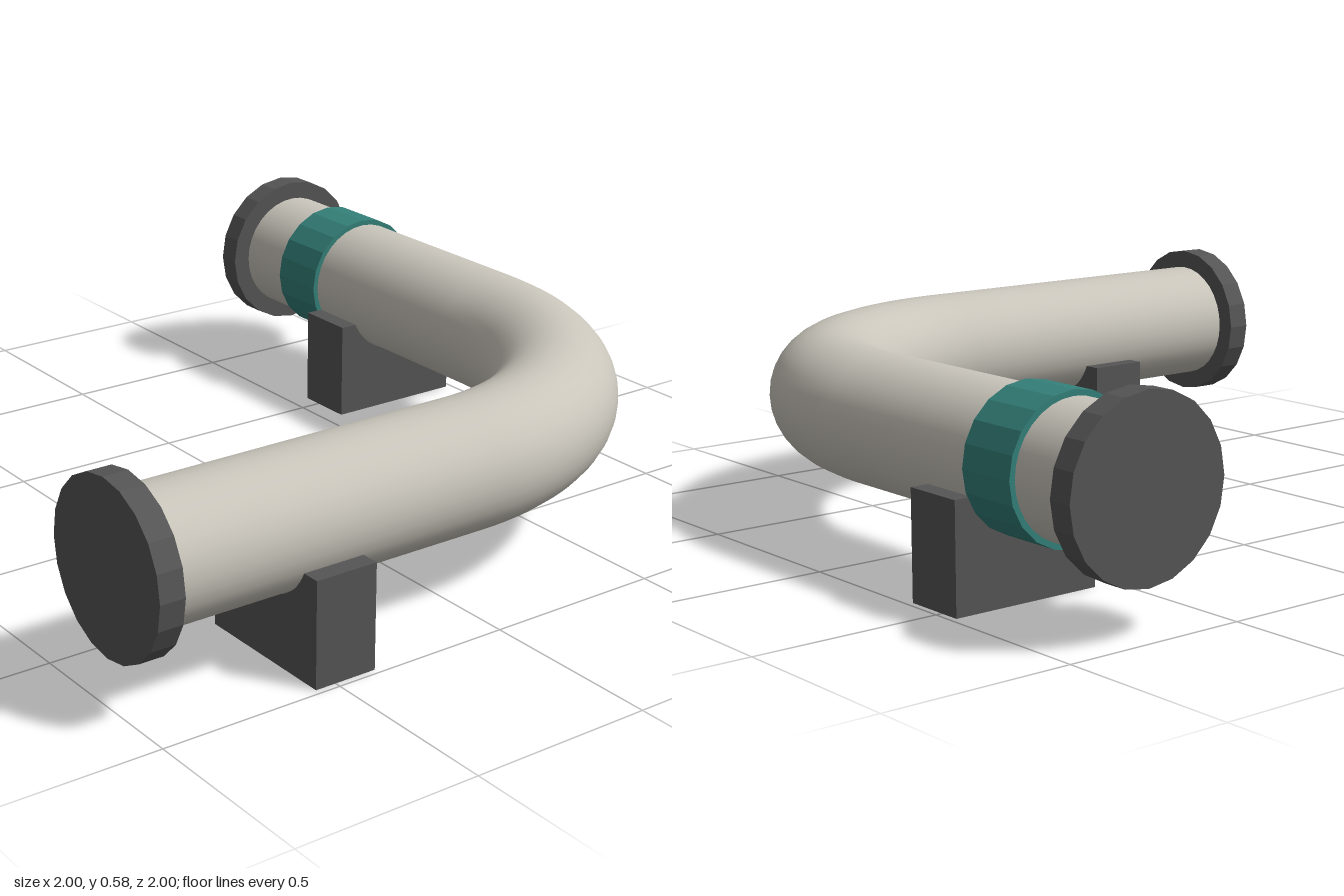
import * as THREE from 'three';

const AXIS_Y = 0.357, AXIS = 0.772; // pipe height and offset of both runs
const PIPE_R = 0.174, BEND_R = 0.722, BEND_C = AXIS - BEND_R;

export function createModel() {
  const model = new THREE.Group();
  model.name = 'pipeElbow';

  const flat = (name, color) => {
    const m = new THREE.MeshStandardMaterial({ color, flatShading: name !== 'pipeGrey' });
    m.name = name;
    return m;
  };
  const pipeMat = flat('pipeGrey', 0xc9c5bb);
  const darkMat = flat('darkSteel', 0x555555);
  const bandMat = flat('tealPaint', 0x348079);

  const add = (parent, name, geometry, material) => {
    const mesh = new THREE.Mesh(geometry, material);
    mesh.name = name;
    parent.add(mesh);
    return mesh;
  };

  // Round part along z between two stations
  const round = (parent, name, r, z0, z1, sides, mat, open = false) => {
    const g = new THREE.CylinderGeometry(r, r, z1 - z0, sides, 1, open);
    g.rotateX(Math.PI / 2);
    return add(parent, name, g.translate(0, AXIS_Y, (z0 + z1) / 2), mat);
  };

  // Block with a round cradle cut into its top
  const half = 0.211, top = 0.285, notchR = 0.176;
  const a = Math.asin((AXIS_Y - top) / notchR);
  const profile = new THREE.Shape();
  profile.moveTo(-half, 0);
  profile.lineTo(half, 0);
  profile.lineTo(half, top);
  profile.lineTo(notchR * Math.cos(a), top);
  profile.absarc(0, AXIS_Y, notchR, -a, -Math.PI + a, true);
  profile.lineTo(-half, top);
  profile.closePath();

  // One straight run along z: pipe, end flange and saddle support
  const makeRun = (name) => {
    const run = new THREE.Group();
    run.name = name;
    round(run, 'straightPipe', PIPE_R, BEND_C * -1, 0.94, 32, pipeMat, true);
    round(run, 'endFlange', 0.228, 0.932, 1, 20, darkMat);
    const saddle = new THREE.ExtrudeGeometry(profile, { depth: 0.176, bevelEnabled: false, curveSegments: 12 });
    add(run, 'saddleSupport', saddle.translate(0, 0, 0.382), darkMat);
    model.add(run);
    return run;
  };

  const frontRun = makeRun('frontRun');
  frontRun.position.x = AXIS;

  // Side run points to -x and carries the painted band
  const sideRun = makeRun('sideRun');
  round(sideRun, 'paintedBand', 0.19, 0.56, 0.738, 20, bandMat);
  sideRun.rotation.y = -Math.PI / 2;
  sideRun.position.z = -AXIS;

  // Quarter bend joining the runs
  const bend = new THREE.TorusGeometry(BEND_R, PIPE_R, 32, 32, Math.PI / 2);
  bend.rotateX(-Math.PI / 2);
  add(model, 'pipeBend', bend.translate(BEND_C, AXIS_Y, -BEND_C), pipeMat);

  return model;
}
